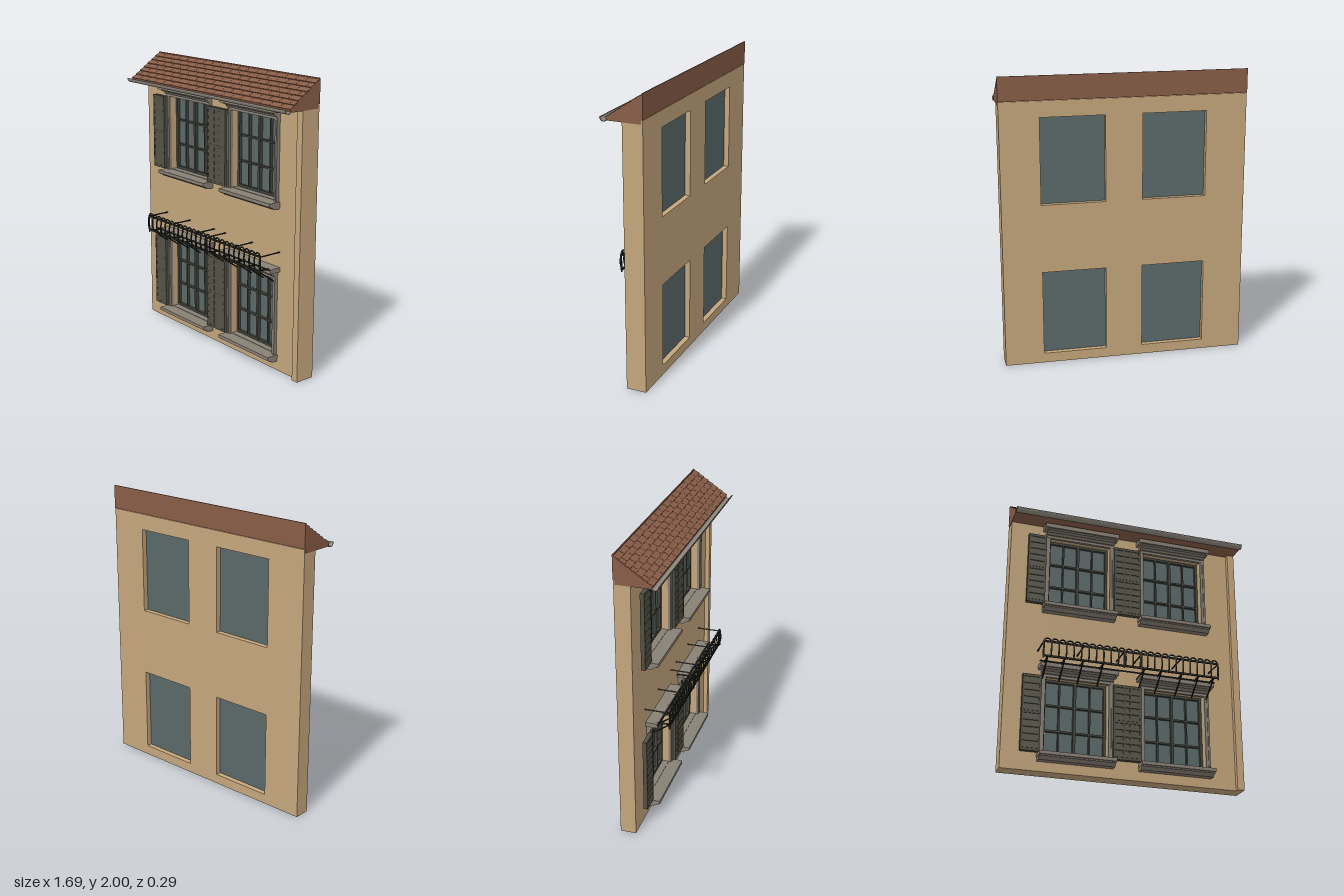
import * as THREE from 'three';

const mat = (name, color) => {
  const m = new THREE.MeshStandardMaterial({ color });
  m.name = name;
  return m;
};

export function createModel() {
  const root = new THREE.Group();
  root.name = 'houseFacade';
  const M = {
    plaster: mat('ochrePlaster', 0xc4a67c),
    stone: mat('greyStone', 0x888075),
    tile: mat('roofTile', 0x885d47),
    glass: mat('glass', 0x5b6969),
    sash: mat('sashPaint', 0x43443b),
    shutter: mat('shutterPaint', 0x515044),
    iron: mat('blackIron', 0x25251f),
    gutter: mat('gutterMetal', 0x938b81),
  };

  const add = (parent, name, geo, material) => {
    const m = new THREE.Mesh(geo, material);
    m.name = name;
    parent.add(m);
    return m;
  };
  // Box given by its limits on each axis
  const box = (parent, name, material, x0, x1, y0, y1, z0, z1) => {
    const m = add(parent, name, new THREE.BoxGeometry(x1 - x0, y1 - y0, z1 - z0), material);
    m.position.set((x0 + x1) / 2, (y0 + y1) / 2, (z0 + z1) / 2);
    return m;
  };
  // Profile of [z, y] points swept along x
  const profileX = (parent, name, material, pts, x0, x1) => {
    const shape = new THREE.Shape(pts.map(p => new THREE.Vector2(p[0], p[1])));
    const g = new THREE.ExtrudeGeometry(shape, { depth: x1 - x0, bevelEnabled: false });
    g.rotateY(-Math.PI / 2).translate(x1, 0, 0);
    return add(parent, name, g, material);
  };
  const group = (name) => {
    const g = new THREE.Group();
    g.name = name;
    root.add(g);
    return g;
  };

  const CENTRES = [-0.341, 0.353], FLOORS = [0, 1.065], Z0 = -0.143, ZF = -0.035;

  // Wall with four openings
  const wall = new THREE.Shape();
  wall.moveTo(-0.84, 0).lineTo(0.84, 0).lineTo(0.84, 1.835).lineTo(-0.84, 1.835).closePath();
  for (const cx of CENTRES) for (const y of FLOORS) {
    const h = new THREE.Path();
    h.moveTo(cx - 0.22, y + 0.068).lineTo(cx - 0.22, y + 0.66)
      .lineTo(cx + 0.22, y + 0.66).lineTo(cx + 0.22, y + 0.068).closePath();
    wall.holes.push(h);
  }
  const wallGeo = new THREE.ExtrudeGeometry(wall, { depth: ZF - Z0, bevelEnabled: false });
  add(root, 'wall', wallGeo.translate(0, 0, Z0), M.plaster);
  box(root, 'cornerStrip', M.plaster, 0.79, 0.84, 0, 1.815, ZF, -0.004);

  // Windows: glass, sash bars, stone surround, sill and cornice
  const makeWindow = (cx, y) => {
    const g = group('window');
    g.position.set(cx, y, 0);
    box(g, 'glass', M.glass, -0.22, 0.22, 0.068, 0.66, -0.106, -0.1);
    const zs = [-0.1, -0.08];
    for (const s of [-1, 1]) {
      box(g, 'sashStile', M.sash, s * 0.211 - 0.009, s * 0.211 + 0.009, 0.118, 0.66, ...zs);
      box(g, 'glazingBar', M.sash, s * 0.106 - 0.005, s * 0.106 + 0.005, 0.12, 0.65, ...zs);
      box(g, 'jamb', M.stone, s * 0.234 - 0.014, s * 0.234 + 0.014, 0.11, 0.68, ZF, -0.016);
      box(g, 'jambMoulding', M.stone, s * 0.243 - 0.006, s * 0.243 + 0.006, 0.11, 0.68, ZF, -0.01);
    }
    box(g, 'centreStile', M.sash, -0.009, 0.009, 0.12, 0.65, -0.1, -0.076);
    box(g, 'sashTopRail', M.sash, -0.22, 0.22, 0.643, 0.66, ...zs);
    box(g, 'sashBottomRail', M.sash, -0.22, 0.22, 0.115, 0.136, ...zs);
    for (const h of [0.3, 0.478]) box(g, 'glazingBar', M.sash, -0.215, 0.215, h - 0.006, h + 0.006, ...zs);
    box(g, 'headBand', M.stone, -0.248, 0.248, 0.652, 0.675, ZF, -0.014);
    box(g, 'sillInside', M.stone, -0.219, 0.219, 0.075, 0.118, -0.1, ZF);
    box(g, 'sill', M.stone, -0.261, 0.261, 0.092, 0.115, ZF, 0.055);
    profileX(g, 'sillMoulding', M.stone,
      [[ZF, 0.066], [0.01, 0.066], [0.025, 0.08], [0.043, 0.084], [0.043, 0.092], [ZF, 0.092]], -0.258, 0.258);
    profileX(g, 'cornice', M.stone,
      [[ZF, 0.67], [-0.004, 0.67], [0.006, 0.686], [0.028, 0.694], [0.034, 0.706], [ZF, 0.706]], -0.25, 0.25);
    box(g, 'corniceCap', M.stone, -0.27, 0.27, 0.704, 0.735, ZF, 0.046);
  };

  // Louvred shutters folded back against the wall
  const makeShutter = (x0, x1, y, z) => {
    const g = group('shutter');
    g.position.set(0, y, z);
    box(g, 'shutterPanel', M.shutter, x0, x1, 0.122, 0.648, -0.02, 0.003);
    for (const x of [x0, x1 - 0.013]) box(g, 'shutterStile', M.shutter, x, x + 0.013, 0.12, 0.65, -0.02, 0.008);
    for (const h of [0.12, 0.376, 0.632]) box(g, 'shutterRail', M.shutter, x0, x1, h, h + 0.018, -0.02, 0.0085);
    for (const b of [0.138, 0.394]) for (let i = 0; i < 5; i++) {
      const yb = b + i * 0.0476;
      profileX(g, 'slat', M.shutter,
        [[0.002, yb], [0.009, yb + 0.001], [0.003, yb + 0.047], [0.002, yb + 0.047]], x0 + 0.013, x1 - 0.013);
    }
  };

  for (const y of FLOORS) {
    for (const cx of CENTRES) makeWindow(cx, y);
    makeShutter(-0.72, -0.592, y, 0);
    makeShutter(-0.094, 0.032, y, 0);
    makeShutter(-0.026, 0.102, y, 0.001);
  }

  // Roof: lean-to body and staggered tiles
  const roof = group('roof');
  const top = [-0.14, 1.99], eave = [0.104, 1.825];
  profileX(roof, 'roofBody', M.tile,
    [[-0.134, 1.81], [0.1, 1.81], eave, top, [-0.145, 1.99], [-0.145, 1.838], [-0.134, 1.838]], -0.842, 0.842);
  const dz = eave[0] - top[0], dy = eave[1] - top[1];
  const len = Math.hypot(dz, dy);
  const tiles = new THREE.Group();
  tiles.name = 'tiles';
  tiles.position.set(0, top[1], top[0]);
  tiles.rotation.x = Math.atan2(-dy, dz);
  roof.add(tiles);
  const ROWS = 7, COLS = 18, tw = 1.684 / COLS, rh = len / ROWS;
  for (let r = 0; r < ROWS; r++) for (let c = 0; c <= COLS; c++) {
    const start = -0.842 + (c - (r % 2) / 2) * tw;
    const x0 = Math.max(start, -0.842) + 0.001, x1 = Math.min(start + tw, 0.842) - 0.001;
    if (x1 - x0 < 0.01) continue;
    const z = r * rh;
    // wedge, thick at its lower edge
    profileX(tiles, 'tile', M.tile,
      [[z, -0.001], [z + rh, -0.001], [z + rh, 0.009], [z, 0.003]], x0, x1);
  }
  box(roof, 'ridgeEdge', M.tile, -0.842, 0.842, 1.985, 2.0, -0.145, -0.138);

  // Half-round gutter with a flat lip
  const arc = [];
  for (const [r, dir] of [[0.026, 1], [0.022, -1]]) for (let i = 0; i <= 10; i++) {
    const a = Math.PI * (1.5 + dir * (i / 10 - 0.5));
    arc.push([0.119 + r * Math.cos(a), 1.827 + r * Math.sin(a)]);
  }
  profileX(roof, 'gutter', M.gutter, arc, -0.845, 0.845);
  box(roof, 'gutterLip', M.gutter, -0.845, 0.845, 1.823, 1.83, 0.14, 0.146);

  // Iron balcony rail
  const balcony = group('balcony');
  const v = (x, y, z) => new THREE.Vector3(x, y, z);
  const rod = (name, pts, r) => add(balcony, name,
    new THREE.TubeGeometry(pts.length > 2 ? new THREE.CatmullRomCurve3(pts) : new THREE.LineCurve3(...pts),
      pts.length > 2 ? 8 : 1, r, 6, false), M.iron);
  box(balcony, 'topRail', M.iron, -0.622, 0.622, 0.835, 0.847, 0.13, 0.139);
  box(balcony, 'bottomRail', M.iron, -0.622, 0.622, 0.732, 0.745, 0.126, 0.136);
  box(balcony, 'middleFloorRail', M.iron, -0.622, 0.622, 0.73, 0.738, 0.05, 0.058);
  const N = 24, step = 1.236 / N;
  for (let i = 0; i <= N; i++) {
    const x = -0.618 + i * step;
    rod('baluster', [v(x, 0.738, 0.131), v(x, 0.765, 0.139), v(x, 0.8, 0.141), v(x, 0.842, 0.135)], 0.0055);
    if (i < N) {
      const hoop = add(balcony, 'hoop', new THREE.TorusGeometry(step / 2 - 0.003, 0.0055, 6, 10, Math.PI), M.iron);
      hoop.position.set(x + step / 2, 0.841, 0.135);
    }
  }
  for (const x of [-0.618, -0.062, 0.062, 0.618])
    rod('post', [v(x, 0.72, 0.133), v(x, 0.845, 0.135)], 0.006);
  // ties back to the wall
  for (const x of [-0.618, -0.344, -0.062, 0.062, 0.344, 0.618])
    rod('wallTie', [v(x, 0.84, ZF), v(x, 0.84, 0.136)], 0.005);
  // floor bars and slanted brackets
  for (const x of [-0.587, -0.471, -0.344, -0.206, 0.085, 0.206, 0.354, 0.476, 0.587]) {
    rod('floorBar', [v(x, 0.725, ZF), v(x, 0.738, 0.131)], 0.006);
    rod('bracket', [v(x, 0.63, -0.02), v(x, 0.738, 0.131)], 0.005);
  }
  return root;
}
